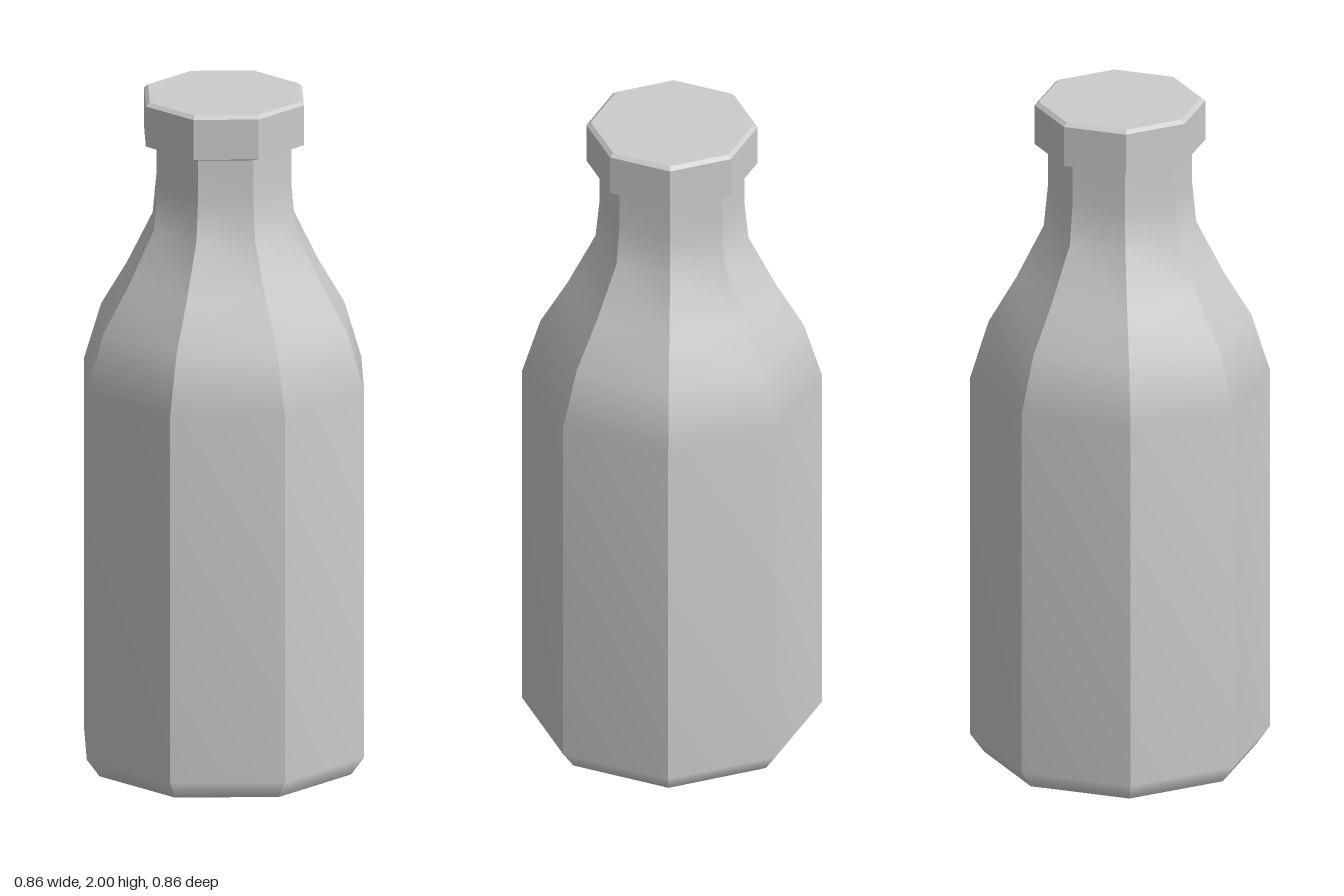
import * as THREE from 'three';
import { mergeGeometries } from 'three/addons/utils/BufferGeometryUtils.js';

const SIDES = 8;

// Faceted turning: each run of [radius, height] points is smooth along its
// height, with hard edges between the eight sides and between runs.
function facetedLathe(runs) {
  const panels = [];
  for (const run of runs) {
    const points = run.map(([r, y]) => new THREE.Vector2(r, y));
    for (let i = 0; i < SIDES; i++) {
      const step = (Math.PI * 2) / SIDES;
      const panel = new THREE.LatheGeometry(points, 1, i * step, step);
      panel.computeVertexNormals();
      panels.push(panel);
    }
  }
  return mergeGeometries(panels);
}

export function createModel() {
  const model = new THREE.Group();
  model.name = 'bottle';
  const material = new THREE.MeshStandardMaterial({ color: 0xcccccc });

  function addPart(name, runs) {
    const mesh = new THREE.Mesh(facetedLathe(runs), material);
    mesh.name = name;
    model.add(mesh);
  }

  // Body: flat base, then bevel, wall, shoulder and neck in one smooth run
  addPart('body', [
    [[0, 0], [0.39, 0]],
    [
      [0.39, 0], [0.43, 0.055], [0.43, 1.156], [0.377, 1.327],
      [0.298, 1.46], [0.219, 1.618], [0.207, 1.74], [0.207, 1.865],
    ],
  ]);

  // Cap: underside, lower bevel, wall, upper bevel and flat top
  addPart('cap', [
    [[0, 1.86], [0.217, 1.86]],
    [[0.217, 1.86], [0.245, 1.87]],
    [[0.245, 1.87], [0.245, 1.99]],
    [[0.245, 1.99], [0.233, 2]],
    [[0.233, 2], [0, 2]],
  ]);

  return model;
}
